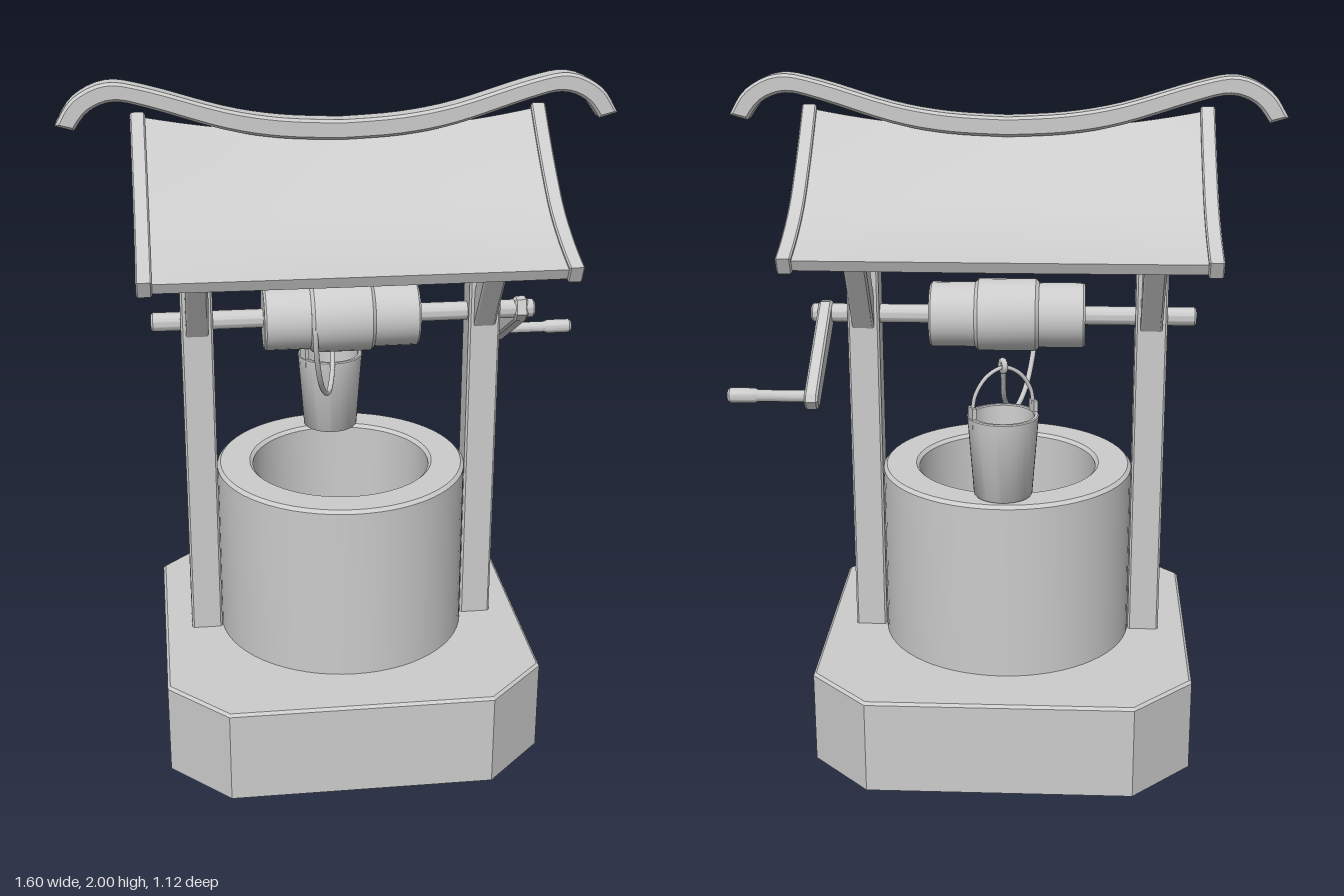
import * as THREE from 'three';
import { toCreasedNormals } from 'three/addons/utils/BufferGeometryUtils.js';

const V2 = (a) => a.map(([x, y]) => new THREE.Vector2(x, y));
const V3 = (a) => a.map((p) => new THREE.Vector3(...p));

export function createModel() {
  const model = new THREE.Group();
  const solid = new THREE.MeshStandardMaterial({ color: 0xcccccc });
  const open = new THREE.MeshStandardMaterial({ color: 0xcccccc, side: THREE.DoubleSide });

  const add = (name, geometry, material = solid, parent = model) => {
    const mesh = new THREE.Mesh(geometry, material);
    mesh.name = name;
    parent.add(mesh);
    return mesh;
  };
  // Outline extruded symmetrically about its own plane, with a small bevel
  const slab = (points, depth, bevel = 0.006, steps = 1) => new THREE.ExtrudeGeometry(new THREE.Shape(points), {
    depth: depth - 2 * bevel, steps, bevelEnabled: bevel > 0, bevelThickness: bevel,
    bevelSize: bevel, bevelOffset: -bevel, bevelSegments: 1,
  }).translate(0, 0, -depth / 2 + bevel);
  // The same for an outline drawn in (-z, y) and extruded along x
  const sideSlab = (...args) => slab(...args).rotateY(Math.PI / 2);
  const lathe = (points, segments = 48) => toCreasedNormals(new THREE.LatheGeometry(V2(points), segments), 0.6);
  const alongX = (points, segments = 32) => lathe(points, segments).rotateZ(-Math.PI / 2);

  // Base: eight-sided shell, open underneath
  const ring = (h, c, y) => [[h, c], [c, h], [-c, h], [-h, c], [-h, -c], [-c, -h], [c, -h], [h, -c]]
    .map(([x, z]) => [x, y, z]);
  const rings = [ring(0.56, 0.387, 0), ring(0.56, 0.387, 0.277), ring(0.552, 0.384, 0.285), ring(0, 0, 0.285)];
  const faces = [];
  for (let r = 0; r < 3; r++) {
    for (let i = 0; i < 8; i++) {
      const j = (i + 1) % 8;
      const [a, b, c, d] = [rings[r][i], rings[r][j], rings[r + 1][j], rings[r + 1][i]];
      faces.push(...a, ...c, ...b);
      if (r < 2) faces.push(...a, ...d, ...c);
      else faces.splice(-9, 9, ...a, ...d, ...b);
    }
  }
  const base = new THREE.BufferGeometry();
  base.setAttribute('position', new THREE.Float32BufferAttribute(faces, 3));
  base.computeVertexNormals();
  add('base', base, open);

  // Round well wall
  add('wellWall', lathe([[0.38, 0.27], [0.38, 0.815], [0.37, 0.825], [0.28, 0.825], [0.27, 0.815], [0.27, 0.27]], 64), open);

  // Posts with a peaked top, each with a pair of braces
  for (const side of [-1, 1]) {
    const frame = new THREE.Group();
    frame.name = side > 0 ? 'leftFrame' : 'rightFrame';
    frame.position.x = side * 0.428;
    model.add(frame);
    add('post', sideSlab(V2([[-0.047, 0.27], [0.047, 0.27], [0.047, 1.805], [0, 1.85], [-0.047, 1.805]]), 0.095), solid, frame);
    for (const s of [-1, 1]) {
      const outline = V2([[0.04, 1.245], [0.3, 1.62], [0.237, 1.65], [0.04, 1.365]].map(([z, y]) => [s * z, y]));
      add('brace', sideSlab(outline, 0.065), solid, frame);
    }
  }

  // Roof section: a swept-up curve on each side of a sharp ridge
  const slope = new THREE.SplineCurve(V2([[0, 1.91], [0.08, 1.832], [0.164, 1.757], [0.275, 1.672], [0.4, 1.612], [0.518, 1.573]]));
  const offsetSlope = (t, end) => Array.from({ length: 17 }, (_, i) => {
    const u = (i / 16) * end, p = slope.getPoint(u), d = slope.getTangent(u);
    const s = Math.abs(d.y / d.x), shift = 0.42 * t * u;
    return new THREE.Vector2(p.x - shift, p.y - t * Math.hypot(1, s) + s * shift);
  });
  const mirrored = (pts) => [...pts.slice(1).reverse().map((p) => new THREE.Vector2(-p.x, p.y)), ...pts];
  const section = (top, bottom, end) => [...mirrored(offsetSlope(bottom, end)), ...mirrored(offsetSlope(top, end)).reverse()];

  // Roof panel, its ridge sagging toward the middle
  const panel = sideSlab(section(0.01, 0.042, 0.985), 1.12, 0, 24);
  const pos = panel.attributes.position;
  for (let i = 0; i < pos.count; i++) {
    const fall = Math.max(0, 1 - Math.abs(pos.getZ(i)) / 0.51);
    pos.setY(i, pos.getY(i) - 0.055 * (1 - (pos.getX(i) / 0.56) ** 2) * fall);
  }
  add('roofPanel', toCreasedNormals(panel, 0.5));
  for (const side of [-1, 1]) {
    add('gableBoard', toCreasedNormals(sideSlab(section(0, 0.05, 1), 0.042, 0.004), 0.5)).position.x = side * 0.572;
  }

  // Ridge beam with curled ends
  const upper = new THREE.SplineCurve(V2([[0, 1.88], [0.17, 1.89], [0.33, 1.918], [0.54, 1.98], [0.656, 1.998], [0.75, 1.955], [0.8, 1.882]])).getPoints(24);
  const lower = new THREE.SplineCurve(V2([[0, 1.823], [0.17, 1.832], [0.33, 1.86], [0.54, 1.925], [0.635, 1.945], [0.705, 1.92], [0.748, 1.867]])).getPoints(24);
  add('ridgeBeam', toCreasedNormals(slab([...mirrored(lower), ...mirrored(upper).reverse()], 0.068, 0.008), 0.5));

  // Windlass: axle, drum and wound rope
  const windlass = new THREE.Group();
  windlass.name = 'windlass';
  windlass.position.y = 1.29;
  model.add(windlass);
  const rod = (r, x0, x1, b = 0.006) => alongX([[0, x0], [r - b, x0], [r, x0 + b], [r, x1 - b], [r - b, x1], [0, x1]]);
  add('axle', rod(0.028, -0.562, 0.588), solid, windlass);
  add('drum', rod(0.097, -0.232, 0.23), solid, windlass);
  add('woundRope', rod(0.108, -0.095, 0.095, 0.01), solid, windlass);

  // Crank arm and grip
  add('crankArm', sideSlab(V2([[-0.035, -0.01], [-0.02, 0.033], [0.01, 0.036], [0.325, -0.155], [0.335, -0.175], [0.315, -0.203], [0.29, -0.203], [-0.015, -0.035]]), 0.04),
    solid, windlass).position.x = 0.545;
  add('crankHandle', alongX([[0, 0.53], [0.017, 0.53], [0.017, 0.7], [0.022, 0.71], [0.022, 0.78], [0.017, 0.787], [0, 0.787]], 20),
    solid, windlass).position.set(0, -0.168, -0.3);

  // Bucket with ears and a bail, standing on the rim at the back
  const bucket = new THREE.Group();
  bucket.name = 'bucket';
  bucket.position.set(0, 0.828, -0.282);
  bucket.rotation.y = 0.44;
  model.add(bucket);
  add('pail', lathe([[0, 0], [0.082, 0], [0.085, 0.004], [0.103, 0.24], [0.1, 0.243], [0.092, 0.243], [0.089, 0.24], [0.075, 0.02], [0, 0.02]], 32), open, bucket);
  for (const side of [-1, 1]) {
    add('ear', new THREE.BoxGeometry(0.012, 0.06, 0.035), solid, bucket).position.set(side * 0.095, 0.245, 0);
  }
  const bail = new THREE.CatmullRomCurve3(V3([[-0.095, 0.255, 0], [-0.085, 0.31, 0], [-0.05, 0.36, 0], [0, 0.382, 0], [0.05, 0.36, 0], [0.085, 0.31, 0], [0.095, 0.255, 0]]));
  add('bail', new THREE.TubeGeometry(bail, 32, 0.006, 8), open, bucket);
  add('ropeKnot', new THREE.TorusGeometry(0.015, 0.009, 8, 16).rotateY(Math.PI / 2), solid, bucket).position.y = 0.387;

  // Slack rope from the drum to the bail
  const rope = new THREE.CatmullRomCurve3(V3([[-0.085, 1.33, 0.092], [-0.085, 1.25, 0.1], [-0.075, 1.15, 0.07], [-0.055, 1.06, 0.01],
    [-0.03, 1.02, -0.06], [-0.01, 1.045, -0.14], [0, 1.1, -0.21], [0, 1.17, -0.255], [0, 1.22, -0.282]]));
  add('rope', new THREE.TubeGeometry(rope, 48, 0.008, 8), open);

  return model;
}
